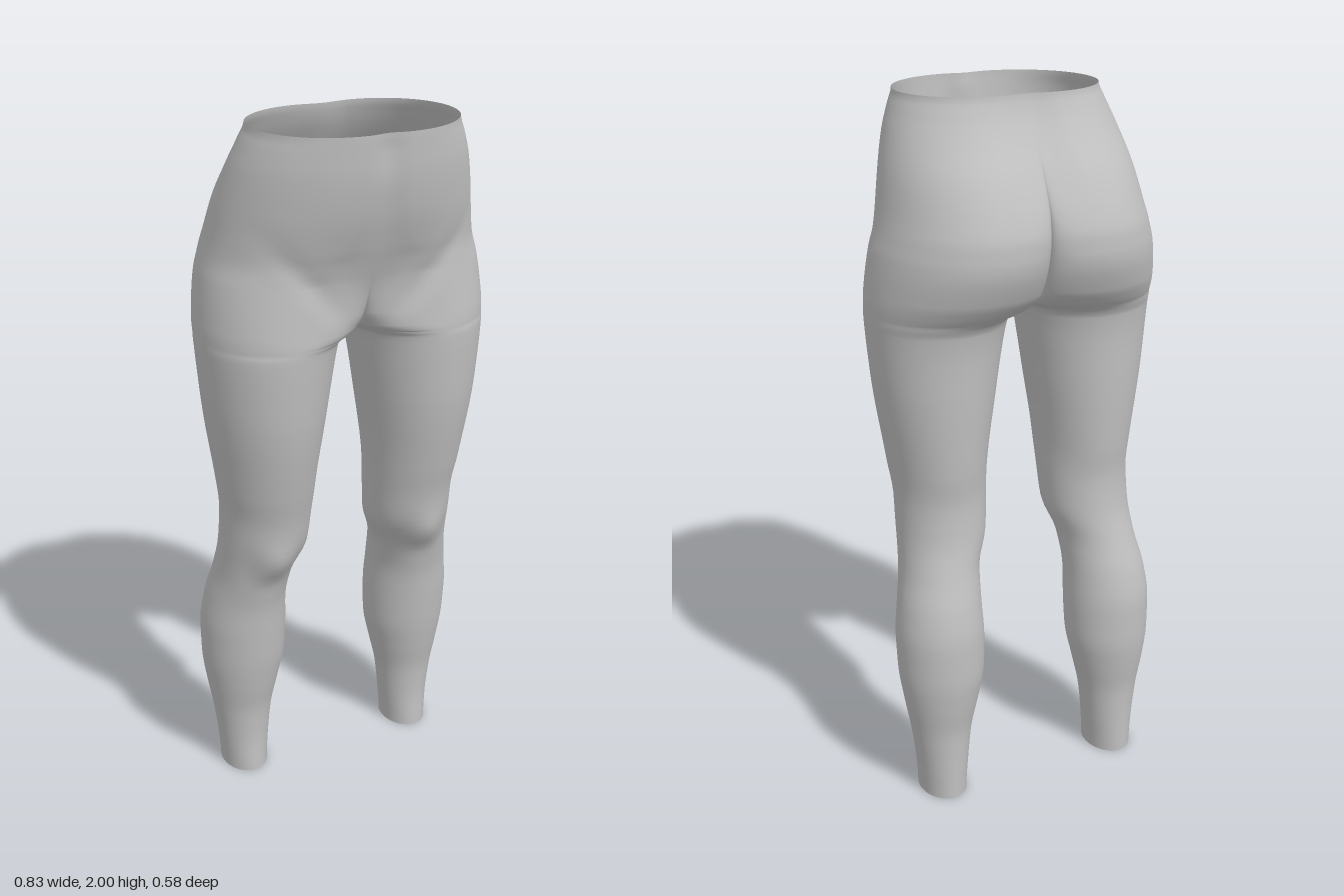
import * as THREE from 'three';
import { mergeVertices } from 'three/addons/utils/BufferGeometryUtils.js';

// Leg sections: y, outer x, inner x, front z, back z, z of widest point
const LEG = [
  [0, 0.345, 0.21, -0.02, -0.2, -0.11],
  [0.1, 0.352, 0.202, -0.025, -0.2, -0.11],
  [0.2, 0.365, 0.19, -0.02, -0.202, -0.11],
  [0.3, 0.382, 0.168, 0, -0.217, -0.11],
  [0.4, 0.395, 0.148, 0.018, -0.228, -0.105],
  [0.5, 0.397, 0.145, 0.03, -0.228, -0.1],
  [0.6, 0.385, 0.148, 0.042, -0.213, -0.09],
  [0.7, 0.365, 0.14, 0.075, -0.183, -0.06],
  [0.8, 0.357, 0.106, 0.113, -0.16, -0.03],
  [0.9, 0.355, 0.098, 0.13, -0.153, -0.015],
  [1, 0.366, 0.092, 0.155, -0.163, 0],
  [1.2, 0.395, 0.064, 0.195, -0.175, 0],
  [1.32, 0.407, 0.045, 0.207, -0.18, 0],
  [1.4, 0.413, 0.03, 0.213, -0.19, 0],
  [1.422, 0.414, 0.022, 0.214, -0.2, 0]
];
// Hip sections: y, outer x, front z, back z, widest z, front peak x, back peak x, centre front z, centre back z
const HIP = [
  [1.437, 0.414, 0.214, -0.212, 0, 0.21, 0.19, 0, 0],
  [1.443, 0.414, 0.214, -0.218, 0, 0.21, 0.185, 0.05, -0.07],
  [1.46, 0.414, 0.213, -0.233, 0, 0.21, 0.175, 0.1, -0.13],
  [1.5, 0.411, 0.21, -0.26, 0, 0.205, 0.16, 0.148, -0.185],
  [1.6, 0.396, 0.205, -0.29, 0, 0.18, 0.14, 0.193, -0.23],
  [1.65, 0.382, 0.215, -0.288, 0, 0.14, 0.135, 0.212, -0.239],
  [1.7, 0.37, 0.235, -0.274, 0.01, 0.1, 0.13, 0.231, -0.236],
  [1.8, 0.35, 0.268, -0.225, 0.03, 0.07, 0.12, 0.262, -0.2],
  [1.9, 0.323, 0.286, -0.156, 0.06, 0.06, 0.1, 0.279, -0.143],
  [1.96, 0.3, 0.29, -0.124, 0.075, 0.06, 0.09, 0.28, -0.113],
  [2, 0.285, 0.292, -0.112, 0.08, 0.06, 0.08, 0.284, -0.103]
];

// Bring both tables to: y, xo, xi, zf, zb, zm, cxFront, cxBack, centreFront, centreBack
const KEYS = [
  ...LEG.map(([y, xo, xi, zf, zb, zm]) =>
    [y, xo, xi, zf, zb, zm, (xo + xi) / 2, (xo + xi) / 2 - 0.02 * Math.max(0, y - 0.9), zm, zm]),
  ...HIP.map(([y, xo, zf, zb, zm, cf, cb, f, b]) => [y, xo, 0, zf, zb, zm, cf, cb, f, b])
];

// Monotone cubic interpolation between neighbouring sections
function slope(k, c) {
  if (k === 0 || k === KEYS.length - 1) return 0;
  const d = (i) => (KEYS[i + 1][c] - KEYS[i][c]) / (KEYS[i + 1][0] - KEYS[i][0]);
  const a = d(k - 1), b = d(k);
  return a * b <= 0 ? 0 : (2 * a * b) / (a + b);
}
function section(k, t) {
  const h = KEYS[k + 1][0] - KEYS[k][0];
  return KEYS[k].map((p, c) => {
    if (c === 0) return p + h * t;
    const q = KEYS[k + 1][c], t2 = t * t, t3 = t2 * t;
    return p * (2 * t3 - 3 * t2 + 1) + q * (3 * t2 - 2 * t3) +
      h * ((t3 - 2 * t2 + t) * slope(k, c) + (t3 - t2) * slope(k + 1, c));
  });
}

const gauss = (d, w) => Math.exp(-(d * d) / (w * w));

// Kneecaps and groin creases, as small shifts of the front surface
function frontRelief(x, y) {
  const knee = 0.01 * gauss(x - 0.24, 0.045) * gauss(y - 0.77, 0.05)
    - 0.008 * gauss(x - 0.24, 0.06) * gauss(y - 0.685, 0.035)
    - 0.006 * (gauss(x - 0.165, 0.03) + gauss(x - 0.315, 0.03)) * gauss(y - 0.76, 0.06);
  const across = (y - 1.47) * 0.67 - (x - 0.05) * 0.74;
  const along = (y - 1.47) * 0.74 + (x - 0.05) * 0.67;
  return knee - 0.008 * gauss(across, 0.03) * gauss(along - 0.2, 0.15);
}

const Q = 14; // points per quarter of a section

// One section: inner edge, front, outside, back, inner edge
function ring([y, xo, xi, zf, zb, zm, cf, cb, centreF, centreB]) {
  const pts = [];
  const softF = THREE.MathUtils.smoothstep(y, 1.44, 1.65);
  const softB = THREE.MathUtils.smoothstep(y, 1.65, 1.95);
  for (let i = 0; i <= 4 * Q; i++) {
    const quarter = Math.min(3, Math.floor(i / Q));
    const front = quarter < 2, inner = quarter === 0 || quarter === 3;
    // u runs from 0 at the front or back peak to 1 at the side
    let u = (i - quarter * Q) / Q;
    if (quarter === 0 || quarter === 2) u = 1 - u;
    const s = u === 1 ? 1 : Math.sin(u * Math.PI / 2);
    let c = u === 1 ? 0 : Math.cos(u * Math.PI / 2);
    const cx = front ? cf : cb, peak = front ? zf : zb;
    const base = inner ? (front ? centreF : centreB) : zm;
    // Towards the waist the centre line becomes a soft dip
    if (inner) c = THREE.MathUtils.lerp(c, (1 + Math.cos(Math.PI * s)) / 2, front ? softF : softB);
    const x = cx + ((inner ? xi : xo) - cx) * s;
    let z = base + (peak - base) * c;
    if (front) z += frontRelief(x, y) * Math.min(1, c * 2);
    pts.push([x, y, z]);
  }
  return pts;
}

// Loft one half, mirror it, and weld the two along the centre line
function bodyGeometry() {
  const rings = [];
  const STEPS = 4;
  for (let k = 0; k < KEYS.length - 1; k++) {
    for (let s = 0; s < STEPS; s++) rings.push(ring(section(k, s / STEPS)));
  }
  rings.push(ring(KEYS[KEYS.length - 1]));

  const W = 4 * Q + 1, half = rings.length * W;
  const positions = [], index = [];
  for (const side of [1, -1]) {
    const start = side === 1 ? 0 : half;
    for (const r of rings) for (const [x, y, z] of r) positions.push(side * x, y, z);
    for (let j = 0; j < rings.length - 1; j++) {
      for (let i = 0; i < W - 1; i++) {
        const a = start + j * W + i, b = a + 1, c = b + W, d = a + W;
        if (side === 1) index.push(a, b, c, a, c, d);
        else index.push(a, c, b, a, d, c);
      }
    }
  }
  const geometry = new THREE.BufferGeometry();
  geometry.setAttribute('position', new THREE.Float32BufferAttribute(positions, 3));
  geometry.setIndex(index);
  const welded = mergeVertices(geometry, 1e-4);
  welded.computeVertexNormals();
  return welded;
}

export function createModel() {
  const grey = new THREE.MeshStandardMaterial({ color: 0xc0c0c0, side: THREE.DoubleSide });
  grey.name = 'light grey';

  const group = new THREE.Group();
  group.name = 'lowerBody';
  const body = new THREE.Mesh(bodyGeometry(), grey);
  body.name = 'hipsAndLegs';
  group.add(body);
  return group;
}
